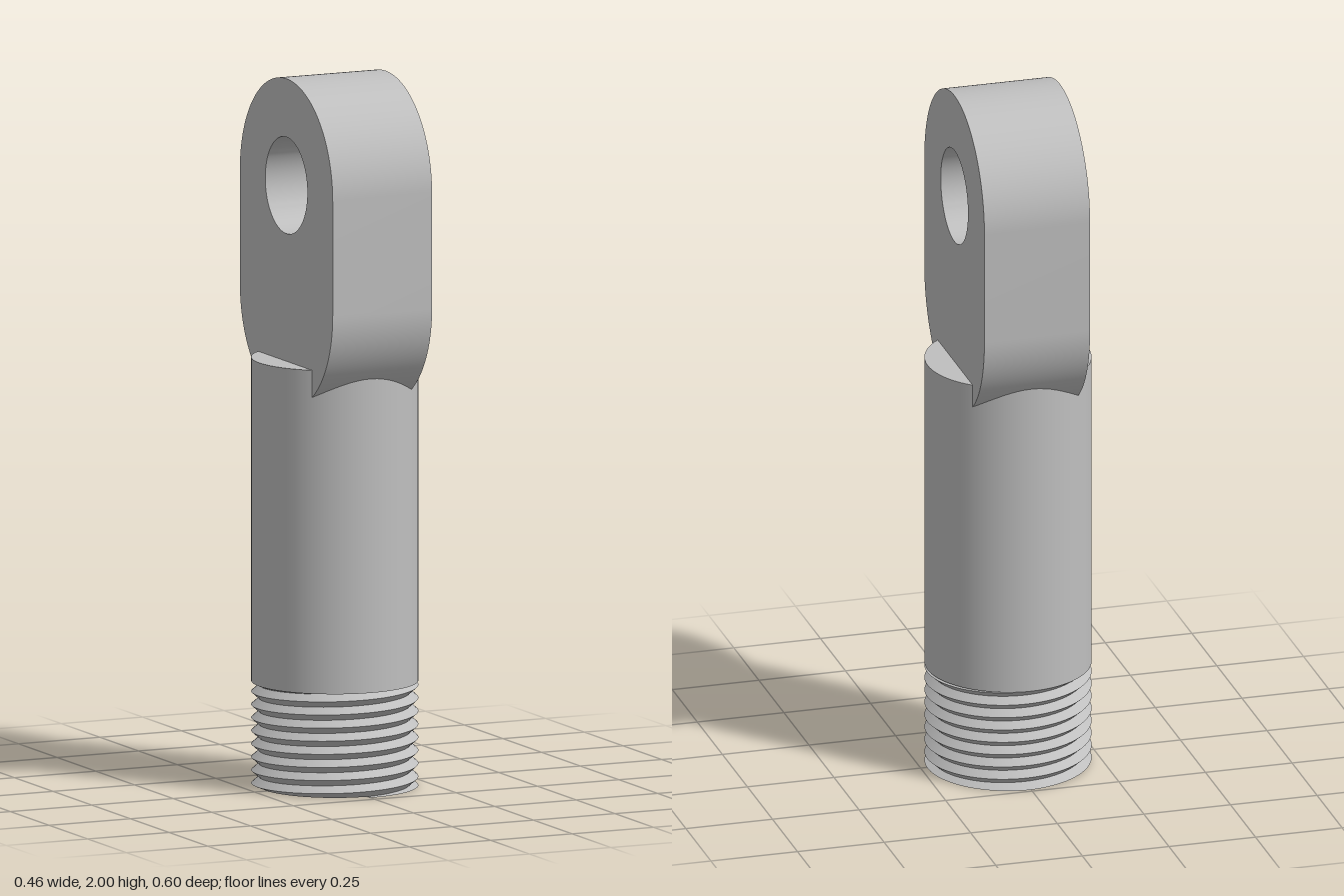
import * as THREE from 'three';
import { toCreasedNormals } from 'three/addons/utils/BufferGeometryUtils.js';

const R = 0.232, AXIS_Z = -0.008;         // shaft radius and offset
const THREAD_TOP = 0.295, SHAFT_TOP = 1.205;

// Helical V-thread: two flanks per turn, clamped flat at both ends.
function threadGeometry(root, crest, height, turns, segments) {
  const pitch = height / turns;
  const positions = [], indices = [];
  const point = (radius, a, y) => positions.push(
    radius * Math.sin(a), THREE.MathUtils.clamp(y, 0, height), radius * Math.cos(a));
  const steps = (turns + 1) * segments;
  for (const flank of [0, 1]) {
    const base = positions.length / 3;
    for (let i = 0; i <= steps; i++) {
      const a = (i / segments) * Math.PI * 2;
      const y = pitch * (i / segments - 1 + flank / 2);
      point(flank ? crest : root, a, y);
      point(flank ? root : crest, a, y + pitch / 2);
      if (i < steps) {
        const n = base + i * 2;
        indices.push(n, n + 2, n + 1, n + 1, n + 2, n + 3);
      }
    }
  }
  const geometry = new THREE.BufferGeometry();
  geometry.setAttribute('position', new THREE.Float32BufferAttribute(positions, 3));
  geometry.setIndex(indices);
  geometry.computeVertexNormals();
  return geometry;
}

// Rounded plate with a pin hole, extruded across x.
function eyeGeometry(radius, top, bottom, hole, thickness) {
  const shape = new THREE.Shape();
  shape.absarc(0, top, radius, 0, Math.PI, false);
  shape.absarc(0, bottom, radius, Math.PI, Math.PI * 2, false);
  shape.closePath();
  const pin = new THREE.Path();
  pin.absarc(0, top, hole, 0, Math.PI * 2, true);
  shape.holes.push(pin);
  const geometry = new THREE.ExtrudeGeometry(shape, {
    depth: thickness, bevelEnabled: false, curveSegments: 40,
  });
  geometry.translate(0, 0, -thickness / 2);
  geometry.rotateY(Math.PI / 2);
  return toCreasedNormals(geometry, 0.5);
}

export function createModel() {
  const model = new THREE.Group();
  model.name = 'threadedEyeRod';
  const steel = new THREE.MeshStandardMaterial({ color: 0xbfbfbf });
  steel.name = 'steel grey';

  const add = (name, geometry, x, y, z) => {
    const mesh = new THREE.Mesh(geometry, steel);
    mesh.name = name;
    mesh.position.set(x, y, z);
    model.add(mesh);
    return mesh;
  };

  // Eye plate, its rounded foot sunk into the shaft
  add('eyePlate', eyeGeometry(0.3, 1.7, 1.378, 0.136, 0.305), 0, 0, 0);

  // Plain shaft
  const length = SHAFT_TOP - THREAD_TOP;
  add('shaft', new THREE.CylinderGeometry(R, R, length, 72),
    0, THREAD_TOP + length / 2, AXIS_Z);

  // Threaded end and its closing disc
  add('thread', threadGeometry(0.211, R, THREAD_TOP, 8, 64), 0, 0, AXIS_Z);
  add('threadEnd', new THREE.CircleGeometry(0.222, 64), 0, 0, AXIS_Z)
    .rotation.x = Math.PI / 2;

  return model;
}
